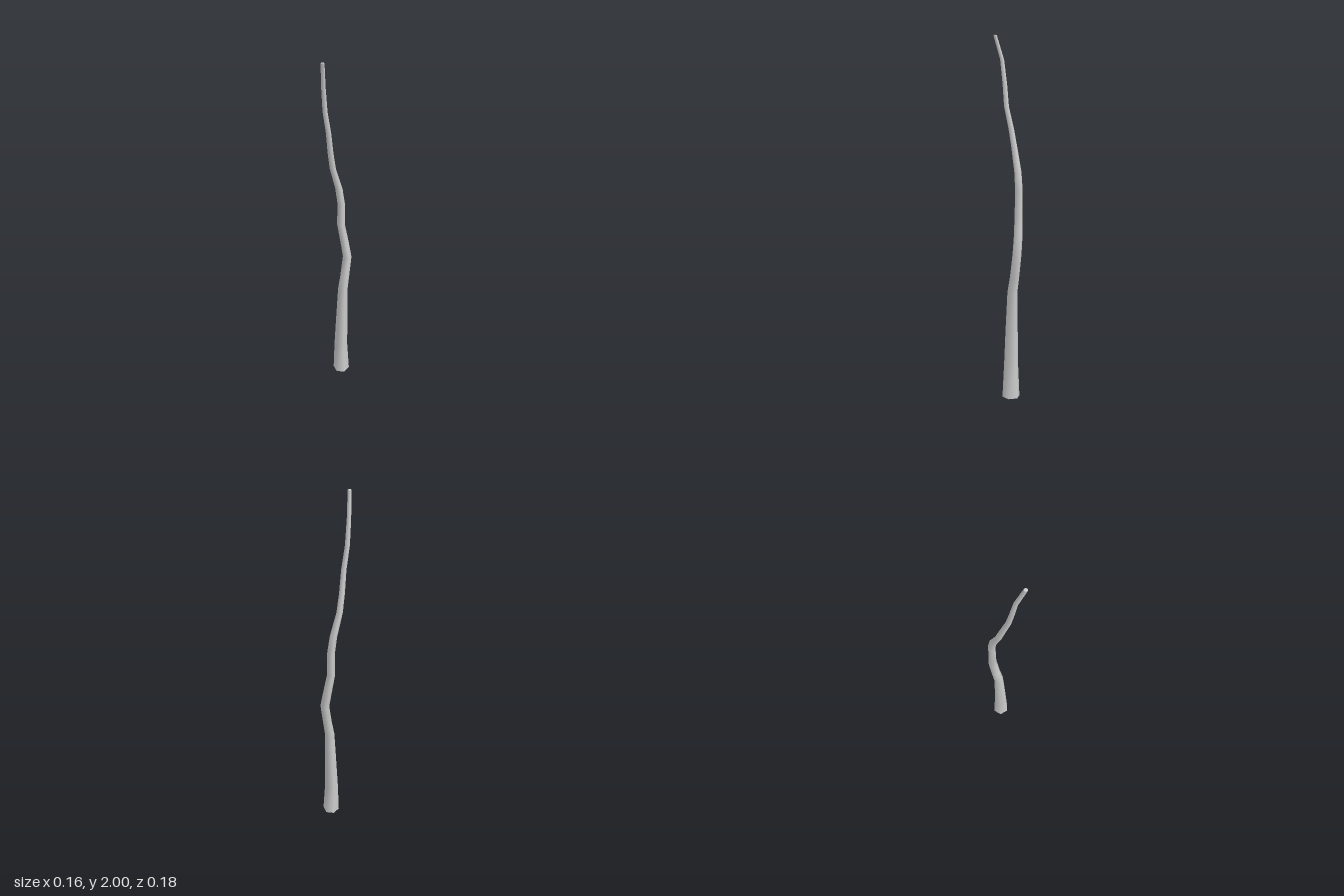
import * as THREE from 'three';

// Trunk cross-sections from base to tip: [x, y, z, radius]
const RINGS = [
  [0.02, 0, -0.022, 0.047], [0.017, 0.2, -0.022, 0.038], [0.022, 0.4, -0.026, 0.033],
  [0.027, 0.61, -0.031, 0.027], [0.038, 0.7, -0.045, 0.025], [0.051, 0.825, -0.06, 0.024],
  [0.034, 0.93, -0.064, 0.023], [0.015, 1.04, -0.062, 0.021], [0.016, 1.17, -0.064, 0.02],
  [0.003, 1.27, -0.056, 0.019], [-0.028, 1.4, -0.031, 0.016], [-0.039, 1.5, -0.012, 0.0145],
  [-0.047, 1.62, 0.016, 0.013], [-0.063, 1.74, 0.028, 0.012], [-0.069, 1.87, 0.044, 0.0105],
  [-0.07, 2, 0.083, 0.009],
];
const SIDES = 6;

function ringPoints([x, y, z, r]) {
  return Array.from({ length: SIDES }, (_, i) => {
    const a = (i / SIDES) * Math.PI * 2 + 0.1;
    return [x + r * 1.03 * Math.cos(a), y, z + r * 1.06 * Math.sin(a)];
  });
}

function makeGeometry(points, index) {
  const g = new THREE.BufferGeometry();
  g.setAttribute('position', new THREE.Float32BufferAttribute(points.flat(), 3));
  g.setIndex(index);
  g.computeVertexNormals();
  return g;
}

// Smooth skin joining all rings
function barkGeometry() {
  const index = [];
  for (let j = 0; j < RINGS.length - 1; j++) {
    for (let i = 0; i < SIDES; i++) {
      const b0 = j * SIDES + i, b1 = j * SIDES + (i + 1) % SIDES;
      const t0 = b0 + SIDES, t1 = b1 + SIDES;
      index.push(b0, t0, b1, b1, t0, t1);
    }
  }
  return makeGeometry(RINGS.flatMap(ringPoints), index);
}

// Flat end face of one ring
function capGeometry(ring, up) {
  const index = [];
  for (let i = 1; i < SIDES - 1; i++) index.push(0, up ? i + 1 : i, up ? i : i + 1);
  return makeGeometry(ringPoints(ring), index);
}

export function createModel() {
  const group = new THREE.Group();
  group.name = 'crookedTrunk';
  const material = new THREE.MeshStandardMaterial({ color: 0xcccccc });
  const add = (name, geometry) => {
    const mesh = new THREE.Mesh(geometry, material);
    mesh.name = name;
    group.add(mesh);
  };
  add('trunk', barkGeometry());
  add('baseCap', capGeometry(RINGS[0], false));
  add('tipCap', capGeometry(RINGS[RINGS.length - 1], true));
  return group;
}
